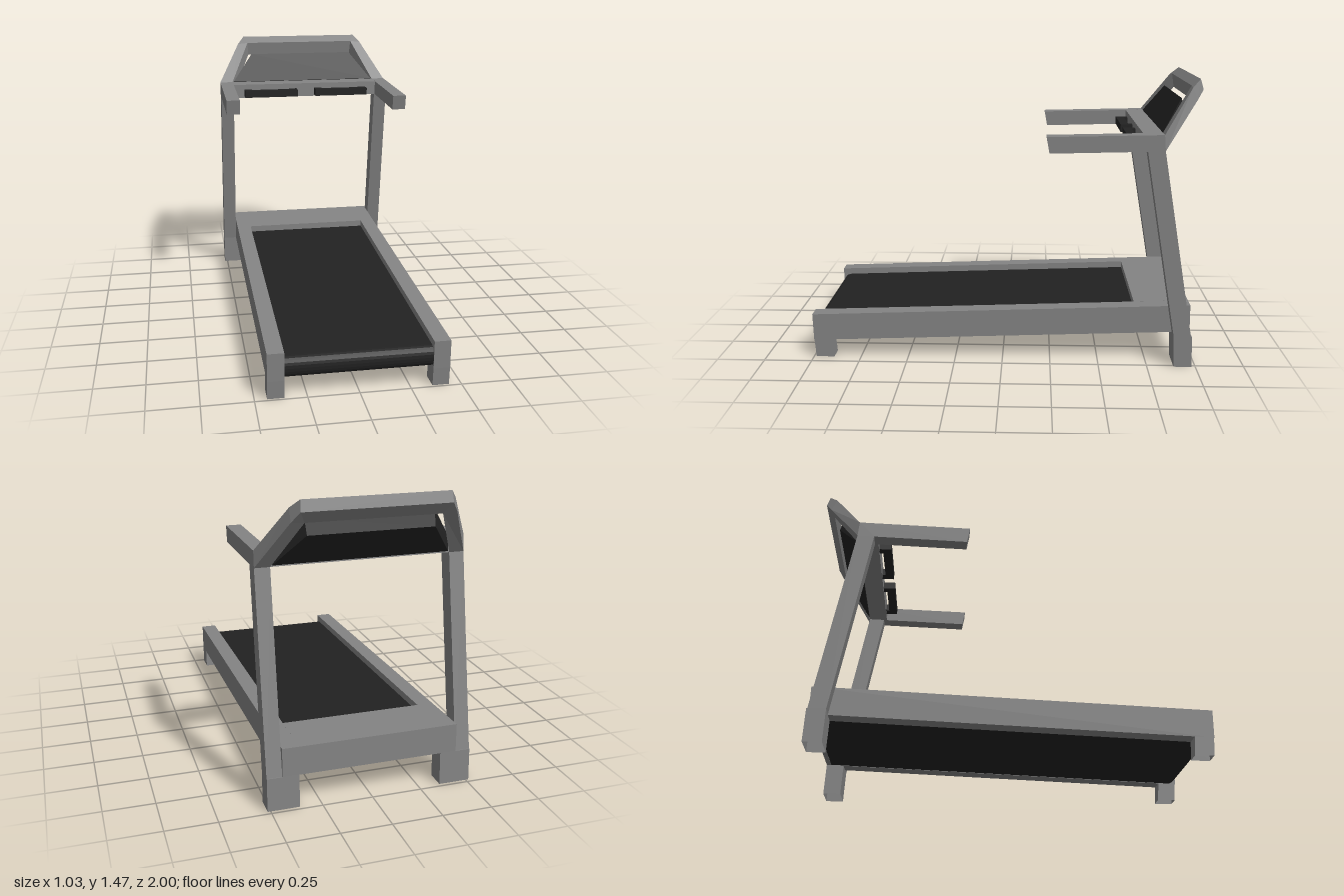
import * as THREE from 'three';
import { ConvexGeometry } from 'three/addons/geometries/ConvexGeometry.js';

const grey = new THREE.MeshStandardMaterial({ color: 0x848484, side: THREE.DoubleSide });
grey.name = 'frameGrey';
const black = new THREE.MeshStandardMaterial({ color: 0x222222 });
black.name = 'beltBlack';

function add(group, name, geometry, material) {
  const mesh = new THREE.Mesh(geometry, material);
  mesh.name = name;
  group.add(mesh);
  return mesh;
}

// Extrudes a side profile, or list of [z, y] points, between x0 and x1
function sideExtrude(profile, x0, x1) {
  const shape = profile instanceof THREE.Shape
    ? profile : new THREE.Shape(profile.map(([z, y]) => new THREE.Vector2(z, y)));
  const g = new THREE.ExtrudeGeometry(shape, { depth: x1 - x0, bevelEnabled: false, curveSegments: 6 });
  return g.rotateY(-Math.PI / 2).translate(x1, 0, 0);
}

// Adds the same profile on the left and on the right
function addPair(group, name, profile, x0, x1, material) {
  add(group, name + 'Left', sideExtrude(profile, x0, x1), material);
  add(group, name + 'Right', sideExtrude(profile, -x1, -x0), material);
}

// Hollow foot, open underneath, with its lower end shifted in z
function footGeometry(x0, x1, height, z0, z1, shift) {
  const g = new THREE.BoxGeometry(x1 - x0, height, z1 - z0);
  g.translate((x0 + x1) / 2, height / 2, (z0 + z1) / 2);
  const p = g.attributes.position;
  for (let i = 0; i < p.count; i++) if (p.getY(i) < 0.001) p.setZ(i, p.getZ(i) + shift);
  const index = Array.from(g.index.array);
  index.splice(18, 6);
  g.setIndex(index);
  g.clearGroups();
  g.computeVertexNormals();
  return g;
}

// Flat-shaded skin over a series of four-cornered sections
function loft(sections) {
  const pos = [];
  for (let i = 0; i < sections.length - 1; i++) {
    for (let j = 0; j < 4; j++) {
      const k = (j + 1) % 4;
      const a = sections[i][j], b = sections[i][k], c = sections[i + 1][k], d = sections[i + 1][j];
      pos.push(...a, ...d, ...c, ...a, ...c, ...b);
    }
  }
  const g = new THREE.BufferGeometry();
  g.setAttribute('position', new THREE.Float32BufferAttribute(pos, 3));
  g.computeVertexNormals();
  return g;
}

export function createModel() {
  const model = new THREE.Group();
  model.name = 'treadmill';

  // Sloping deck: side rails, rear cover and belt
  const base = new THREE.Group();
  base.name = 'base';
  model.add(base);
  addPair(base, 'sideRail', [[0.996, 0.093], [1, 0.235], [-0.973, 0.308], [-0.975, 0.165]], 0.358, 0.44, grey);
  add(base, 'rearCover', sideExtrude(
    [[-0.69, 0.263], [-0.69, 0.298], [-0.973, 0.308], [-0.975, 0.165], [-0.95, 0.165], [-0.95, 0.272]],
    -0.358, 0.358), grey);

  const belt = new THREE.Shape();
  belt.moveTo(-0.95, 0.272);
  belt.lineTo(0.95, 0.202);
  belt.quadraticCurveTo(0.995, 0.2, 0.995, 0.15);
  belt.quadraticCurveTo(0.995, 0.097, 0.95, 0.097);
  belt.lineTo(-0.95, 0.166);
  add(base, 'runningBelt', sideExtrude(belt, -0.358, 0.358), black);

  // Feet
  for (const [side, s] of [['Left', 1], ['Right', -1]]) {
    const front = s > 0 ? [0.358, 0.44] : [-0.44, -0.358];
    const rear = s > 0 ? [0.358, 0.515] : [-0.515, -0.358];
    add(base, 'frontFoot' + side, footGeometry(...front, 0.097, 0.9, 0.995, -0.008), grey);
    add(base, 'rearFoot' + side, footGeometry(...rear, 0.165, -0.975, -0.882, -0.006), grey);
  }

  // Leaning posts, handles and crossbar
  const upright = new THREE.Group();
  upright.name = 'upright';
  model.add(upright);
  addPair(upright, 'post', [[-0.882, 0.165], [-0.716, 1.125], [-0.802, 1.128], [-0.97, 0.165]], 0.44, 0.515, grey);
  addPair(upright, 'handle',
    [[-0.22, 1.195], [-0.235, 1.113], [-0.716, 1.125], [-0.802, 1.128], [-0.795, 1.208]], 0.44, 0.515, grey);
  add(upright, 'crossbar',
    sideExtrude([[-0.698, 1.125], [-0.698, 1.205], [-0.795, 1.208], [-0.802, 1.128]], -0.44, 0.44), grey);

  // Two U-shaped grips on the front of the crossbar
  for (const [side, s] of [['Left', 1], ['Right', -1]]) {
    const grip = new THREE.Group();
    grip.name = 'grip' + side;
    grip.position.set(s * 0.215, 1.155, 0);
    model.add(grip);
    add(grip, 'gripBar', new THREE.BoxGeometry(0.32, 0.04, 0.045), black).position.z = -0.6565;
    for (const e of [-1, 1]) {
      add(grip, 'gripEnd', new THREE.BoxGeometry(0.045, 0.04, 0.025), black)
        .position.set(e * 0.1375, 0, -0.69);
    }
  }

  // Console arch: outer front, inner front, inner back, outer back of each section
  const half = [
    [[0.515, 1.208, -0.795], [0.44, 1.208, -0.795], [0.44, 1.128, -0.802], [0.515, 1.128, -0.802]],
    [[0.39, 1.424, -0.941], [0.33, 1.43, -0.944], [0.325, 1.355, -0.955], [0.39, 1.362, -0.966]],
    [[0.352, 1.465, -0.984], [0.33, 1.43, -0.944], [0.325, 1.355, -0.955], [0.355, 1.412, -1.0]],
  ];
  const mirrored = half.map((s) => s.map(([x, y, z]) => [-x, y, z])).reverse();
  add(model, 'consoleArch', loft([...half, ...mirrored]), grey);

  // Leaning display panel
  const corners = [];
  for (const s of [-1, 1]) {
    for (const [x, y, z] of [[0.432, 1.21, -0.797], [0.31, 1.365, -0.9], [0.305, 1.29, -0.925], [0.432, 1.135, -0.806]]) {
      corners.push(new THREE.Vector3(s * x, y, z));
    }
  }
  add(model, 'displayPanel', new ConvexGeometry(corners), black);

  return model;
}
